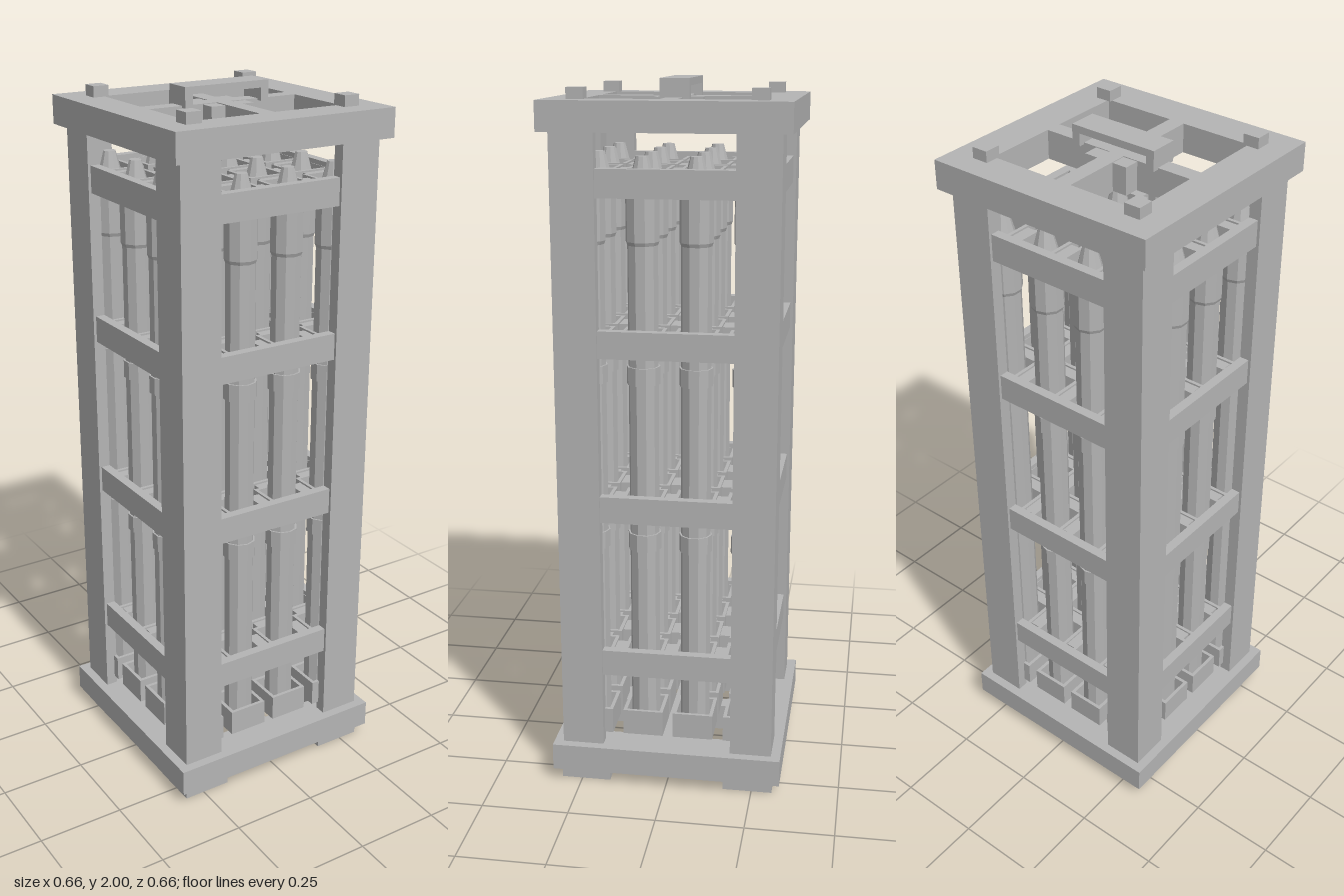
import * as THREE from 'three';

const grey = new THREE.MeshStandardMaterial({ color: 0xb4b4b4, flatShading: true });
grey.name = 'steel grey';

const ROWS = [-0.22, -0.073, 0.073, 0.22];
const RAIL_Y = [0.372, 0.838, 1.308, 1.738];
const RAIL_H = 0.076;

function add(parent, name, geometry, x = 0, y = 0, z = 0) {
  const mesh = new THREE.Mesh(geometry, grey);
  mesh.name = name;
  mesh.position.set(x, y, z);
  parent.add(mesh);
  return mesh;
}

// Box given by its lower and upper height
function slab(parent, name, w, d, y0, y1, x = 0, z = 0) {
  return add(parent, name, new THREE.BoxGeometry(w, y1 - y0, d), x, (y0 + y1) / 2, z);
}

// Plan outline extruded upwards from y = 0
function extrudeUp(points, holes, height) {
  const shape = new THREE.Shape(points.map(([x, z]) => new THREE.Vector2(x, z)));
  holes.forEach((h) => shape.holes.push(new THREE.Path(h.map(([x, z]) => new THREE.Vector2(x, z)))));
  return new THREE.ExtrudeGeometry(shape, { depth: height, bevelEnabled: false }).rotateX(-Math.PI / 2);
}

const rect = (x0, z0, x1, z1) => [[x0, z0], [x1, z0], [x1, z1], [x0, z1]];
const square = (h) => rect(-h, -h, h, h);

export function createModel() {
  const model = new THREE.Group();
  model.name = 'rodRack';
  const corners = [[1, 1], [-1, 1], [-1, -1], [1, -1]];

  // Top and bottom plates: square frames with a cross through the opening
  const quadrants = corners.map(([sx, sz]) => {
    const x = [0.023 * sx, 0.228 * sx].sort((a, b) => a - b);
    const z = [0.023 * sz, 0.228 * sz].sort((a, b) => a - b);
    return rect(x[0], z[0], x[1], z[1]);
  });
  add(model, 'bottomFrame', extrudeUp(square(0.332), quadrants, 0.078), 0, 0.037, 0);
  add(model, 'topFrame', extrudeUp(square(0.332), quadrants, 0.08), 0, 1.87, 0);
  slab(model, 'topHub', 0.132, 0.134, 1.872, 1.948);

  // Lifting handle
  slab(model, 'handleBar', 0.26, 0.08, 1.98, 2.0);
  for (const s of [-1, 1]) slab(model, 'handleLeg', 0.024, 0.08, 1.945, 1.98, s * 0.118);

  // Angle posts, feet and top studs at each corner
  const angle = [[0.186, 0.305], [0.186, 0.27], [0.27, 0.27], [0.27, 0.186], [0.305, 0.186], [0.305, 0.305]];
  const post = extrudeUp(angle, [], 1.757);
  corners.forEach(([sx, sz], i) => {
    add(model, 'cornerPost', post, 0, 0.114, 0).rotation.y = (i * Math.PI) / 2;
    slab(model, 'foot', 0.142, 0.142, 0, 0.037, sx * 0.238, sz * 0.238);
    slab(model, 'topStud', 0.046, 0.046, 1.95, 1.98, sx * 0.24, sz * 0.242);
  });

  // Side rails, four levels on four sides
  for (const y of RAIL_Y) {
    for (let i = 0; i < 4; i++) {
      const side = new THREE.Group();
      side.name = 'railSide';
      side.rotation.y = (i * Math.PI) / 2;
      slab(side, 'rail', 0.38, 0.027, y - RAIL_H / 2, y + RAIL_H / 2, 0, 0.2835);
      model.add(side);
    }
  }

  // Rods with tapered tips, collars, base sockets and spacer sleeves
  const rodProfile = [[0, 0.14], [0.042, 0.14], [0.042, 1.57], [0.046, 1.58], [0.046, 1.7],
    [0.042, 1.71], [0.017, 1.804], [0, 1.804]].map(([r, y]) => new THREE.Vector2(r, y));
  const rod = new THREE.LatheGeometry(rodProfile, 10);
  const collar = new THREE.CylinderGeometry(0.047, 0.047, 0.05, 10);
  const socket = extrudeUp(square(0.058), [square(0.048)], 0.075);
  const sleeve = extrudeUp(square(0.058), [square(0.048)], 0.05);
  for (const x of ROWS) {
    for (const z of ROWS) {
      add(model, 'rod', rod, x, 0, z);
      add(model, 'baseSocket', socket, x, 0.14, z);
      for (const y of [0.73, 1.213]) add(model, 'rodCollar', collar, x, y, z);
      for (const y of RAIL_Y) add(model, 'spacerSleeve', sleeve, x, y - 0.025, z);
    }
  }

  // Tabs joining neighbouring sleeves
  for (const y of RAIL_Y) {
    for (const gap of [-0.1465, 0, 0.1465]) {
      for (const r of ROWS) {
        slab(model, 'spacerTab', 0.034, 0.068, y - 0.02, y + 0.02, gap, r);
        slab(model, 'spacerTab', 0.068, 0.034, y - 0.02, y + 0.02, r, gap);
      }
    }
  }

  return model;
}
